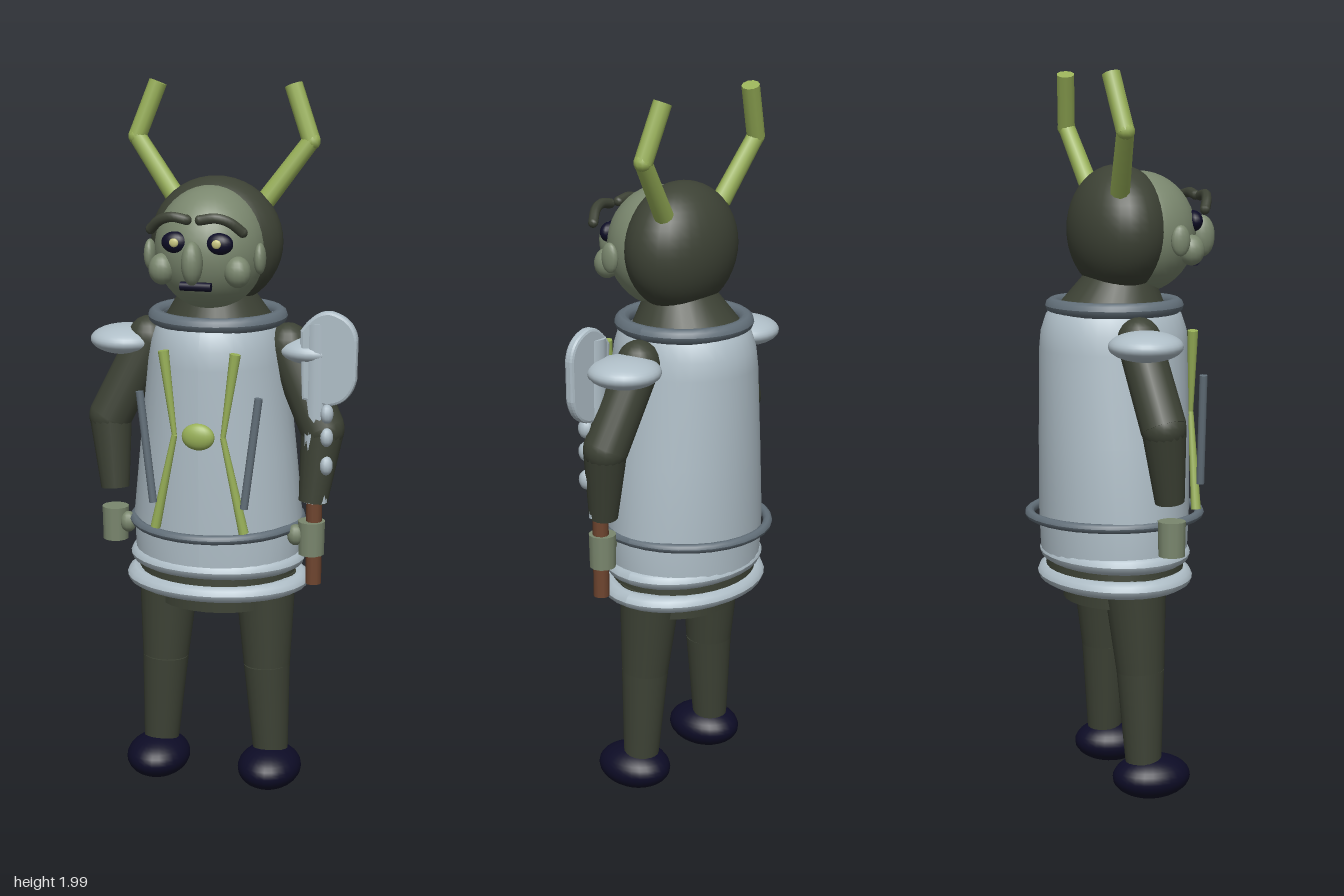
import * as THREE from 'three';

const CX = -0.02; // the figure's own mid-line

const mat = (name, color, side = THREE.FrontSide) => {
  const m = new THREE.MeshStandardMaterial({ color, side });
  m.name = name;
  return m;
};

export function createModel() {
  const skin = mat('grey green skin', 0x7a876e);
  const dark = mat('dark cloth', 0x3d4235);
  const plate = mat('pale plate', 0xafbec7, THREE.DoubleSide);
  const steel = mat('dark steel', 0x626f79);
  const horn = mat('moss green', 0x98b058);
  const boot = mat('midnight', 0x0d0c26);
  const wood = mat('wood', 0x6f452f);
  const glow = mat('pale yellow', 0xc8c680);

  const root = new THREE.Group();
  root.name = 'figure';
  const body = new THREE.Group();
  body.name = 'body';
  body.position.x = CX;
  root.add(body);

  // x is measured from the mid-line
  const add = (name, geo, material, x = 0, y = 0, z = 0) => {
    const m = new THREE.Mesh(geo, material);
    m.name = name;
    m.position.set(x, y, z);
    body.add(m);
    return m;
  };
  const ball = (name, material, p, r, seg = 24) => {
    const m = add(name, new THREE.SphereGeometry(1, seg, Math.round(seg * 0.7)), material, ...p);
    m.scale.set(...r);
    return m;
  };
  // tapered rod from a to b
  const rod = (name, material, a, b, ra, rb, seg = 14) => {
    const A = new THREE.Vector3(...a), B = new THREE.Vector3(...b);
    const d = B.clone().sub(A);
    const m = add(name, new THREE.CylinderGeometry(rb, ra, d.length(), seg), material);
    m.position.copy(A).addScaledVector(d, 0.5);
    m.quaternion.setFromUnitVectors(new THREE.Vector3(0, 1, 0), d.normalize());
    return m;
  };
  // flat hoop with outer half-widths rx, rz
  const hoop = (name, material, y, rx, rz, tube, h = tube) => {
    const g = new THREE.TorusGeometry(1, 1, 10, 32);
    const p = g.attributes.position, uv = g.attributes.uv;
    for (let i = 0; i < p.count; i++) {
      const a = uv.getX(i) * Math.PI * 2, t = uv.getY(i) * Math.PI * 2;
      const k = tube * (Math.cos(t) - 1);
      p.setXYZ(i, Math.cos(a) * (rx + k), h * Math.sin(t), -Math.sin(a) * (rz + k));
    }
    g.computeVertexNormals();
    return add(name, g, material, 0, y, -0.02);
  };

  // Head
  ball('hair', dark, [0, 1.573, -0.01], [0.183, 0.177, 0.135], 32);
  ball('face', skin, [0, 1.565, 0.05], [0.152, 0.167, 0.158], 32);
  ball('nose', skin, [0, 1.55, 0.238], [0.028, 0.058, 0.036], 16);
  rod('mouth', boot, [-0.042, 1.483, 0.203], [0.042, 1.483, 0.203], 0.012, 0.012, 10);
  rod('neck', dark, [0, 1.33, -0.02], [0, 1.44, 0], 0.168, 0.1, 28);

  // Torso: straight in depth, widening downward
  const profile = [[0.2, 0.68], [0.205, 0.8], [0.207, 1.0], [0.207, 1.25], [0.203, 1.3], [0.188, 1.345], [0.165, 1.375]];
  const tg = new THREE.LatheGeometry(profile.map(([r, y]) => new THREE.Vector2(r, y)), 36);
  const tp = tg.attributes.position;
  for (let i = 0; i < tp.count; i++) {
    const k = THREE.MathUtils.clamp((1.3 - tp.getY(i)) / 0.5, 0, 1);
    tp.setX(i, tp.getX(i) * (0.9 + 0.27 * k));
  }
  tg.computeVertexNormals();
  add('torsoArmour', tg, plate, 0, 0, -0.022);
  hoop('collar', steel, 1.368, 0.193, 0.19, 0.021);
  hoop('belt', steel, 0.79, 0.248, 0.25, 0.013);
  hoop('upperSkirtBand', plate, 0.683, 0.25, 0.205, 0.03, 0.025);
  hoop('lowerSkirtBand', plate, 0.618, 0.262, 0.21, 0.03, 0.024);
  const under = rod('underSkirt', dark, [0, 0.6, -0.02], [0, 0.72, -0.02], 0.225, 0.215, 32);
  under.scale.z = 0.85;
  const hips = rod('hips', dark, [0, 0.548, -0.02], [0, 0.62, -0.02], 0.172, 0.172, 28);
  hips.scale.z = 0.82;
  ball('chestGem', horn, [0, 1.07, 0.185], [0.046, 0.037, 0.022], 20);

  for (const s of [-1, 1]) {
    const P = (x, y, z) => [s * x, y, z];

    // Face pairs
    ball('ear', skin, P(0.152, 1.55, 0.115), [0.016, 0.042, 0.027], 14);
    ball('cheek', skin, P(0.104, 1.52, 0.165), [0.036, 0.042, 0.036], 16);
    ball('eye', boot, P(0.06, 1.596, 0.187), [0.038, 0.029, 0.024], 18);
    ball('pupil', glow, P(0.058, 1.598, 0.209), [0.013, 0.012, 0.005], 12);
    const brow = new THREE.CatmullRomCurve3([[0.125, 1.63, 0.195], [0.095, 1.657, 0.212], [0.06, 1.668, 0.222], [0.018, 1.662, 0.224]]
      .map(p => new THREE.Vector3(...P(...p))));
    add('eyebrow', new THREE.TubeGeometry(brow, 12, 0.014, 8), dark);
    ball('browEnd', dark, P(0.125, 1.63, 0.195), [0.014, 0.014, 0.014], 8);
    ball('browEnd', dark, P(0.018, 1.662, 0.224), [0.014, 0.014, 0.014], 8);

    // Horns
    rod('hornBase', horn, P(0.125, 1.68, -0.048), P(0.246, 1.845, -0.076), 0.027, 0.024, 10);
    rod('hornTip', horn, P(0.246, 1.84, -0.076), P(0.19, 1.99, -0.096), 0.025, 0.025, 10);
    ball('hornKnee', horn, P(0.246, 1.843, -0.076), [0.025, 0.025, 0.025], 10);

    // Chest ornament
    rod('upperChestStrip', horn, P(0.1, 1.3, 0.172), P(0.068, 1.07, 0.18), 0.015, 0.007, 10);
    rod('lowerChestStrip', horn, P(0.068, 1.07, 0.18), P(0.125, 0.805, 0.175), 0.008, 0.014, 10);
    rod('chestStrut', steel, P(0.166, 1.185, 0.178), P(0.128, 0.878, 0.186), 0.011, 0.011, 10);

    // Arms
    ball('shoulderGuard', plate, P(0.268, 1.285, -0.027), [0.1, 0.041, 0.1], 28);
    ball('shoulder', dark, P(0.2, 1.29, -0.02), [0.06, 0.065, 0.06], 16);
    rod('upperArm', dark, P(0.2, 1.29, -0.02), P(0.305, 1.07, 0.01), 0.06, 0.062, 18);
    ball('elbow', dark, P(0.305, 1.07, 0.01), [0.061, 0.061, 0.061], 18);
    rod('forearm', dark, P(0.305, 1.07, 0.01), P(0.286, 0.868, 0.035), 0.06, 0.04, 18);
    rod('hand', skin, P(0.284, 0.72, 0.042), P(0.284, 0.815, 0.042), 0.036, 0.038, 12);
    ball('thumb', skin, P(0.242, 0.775, 0.055), [0.024, 0.03, 0.024], 12);

    // Legs
    rod('thigh', dark, P(0.15, 0.37, 0.003), P(0.14, 0.64, -0.012), 0.066, 0.088, 20);
    rod('shin', dark, P(0.165, 0.08, 0.008), P(0.15, 0.37, 0.003), 0.048, 0.066, 20);
    ball('boot', boot, P(0.166, 0.067, 0.03), [0.09, 0.06, 0.11], 26);
  }

  // Axe held in the left hand
  rod('axeHandle', wood, [0.291, 0.635, 0.042], [0.291, 0.89, 0.042], 0.022, 0.022, 10);
  const shaft = rod('axeShaft', plate, [0.293, 0.87, 0.045], [0.293, 1.37, 0.045], 0.034, 0.03, 12);
  shaft.scale.z = 0.7;
  const blade = new THREE.Shape();
  blade.moveTo(0.255, 1.16);
  blade.lineTo(0.25, 1.35);
  blade.quadraticCurveTo(0.29, 1.41, 0.335, 1.405);
  blade.quadraticCurveTo(0.4, 1.39, 0.407, 1.33);
  blade.lineTo(0.405, 1.22);
  blade.quadraticCurveTo(0.39, 1.15, 0.325, 1.145);
  blade.closePath();
  add('axeBlade', new THREE.ExtrudeGeometry(blade, {
    depth: 0.012, bevelEnabled: true, bevelThickness: 0.008, bevelSize: 0.008, bevelOffset: -0.008, bevelSegments: 2,
  }), plate, 0, 0, 0.042);
  for (const y of [1.125, 1.06, 0.98]) ball('shaftStud', plate, [0.327, y, 0.06], [0.018, 0.027, 0.022], 12);

  return root;
}
